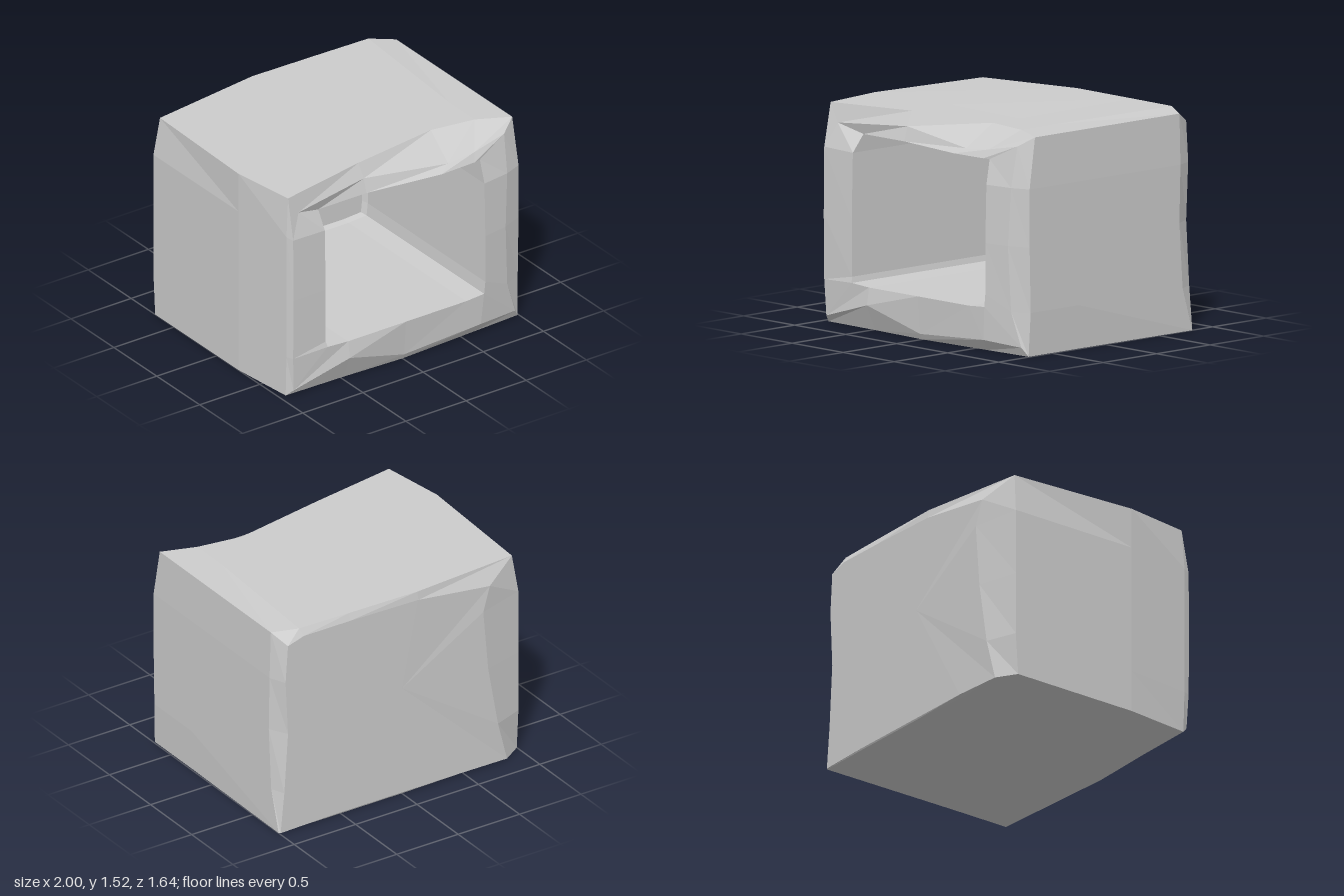
import * as THREE from 'three';

// Every ring has 16 [x, y, z] points, anticlockwise from the bottom left corner seen from the front:
// bottom edge (0-4), right side (5-7), top edge (8-12), left side (13-15).

// Chipped edge of the back face
const backFace = [
  [-0.86, 0, -0.81], [-0.48, 0.01, -0.82], [0, 0.01, -0.82], [0.6, 0.01, -0.82], [0.99, 0, -0.82],
  [0.96, 0.3, -0.82], [0.93, 0.75, -0.82], [0.95, 1.15, -0.82],
  [0.93, 1.43, -0.82], [0.8, 1.47, -0.82], [0.42, 1.47, -0.82], [-0.13, 1.46, -0.82], [-0.72, 1.38, -0.81],
  [-0.66, 1.2, -0.82], [-0.7, 0.75, -0.82], [-0.78, 0.3, -0.82],
];
// Back end of the sides, top and bottom
const backEdge = [
  [-1, 0, -0.72], [-0.48, 0, -0.79], [0, 0, -0.815], [0.6, 0, -0.815], [1, 0, -0.81],
  [1, 0.3, -0.72], [1, 0.75, -0.69], [1, 1.15, -0.7],
  [0.99, 1.5, -0.7], [0.82, 1.52, -0.79], [0.42, 1.52, -0.8], [-0.13, 1.52, -0.81], [-0.96, 1.5, -0.72],
  [-1, 1.22, -0.74], [-1, 0.75, -0.74], [-1, 0.3, -0.74],
];
// Front end of the sides, top and bottom, with the top chipped back
const frontEdge = [
  [-0.95, 0, 0.73], [-0.48, 0, 0.74], [0, 0, 0.76], [0.6, 0, 0.73], [0.99, 0, 0.71],
  [1, 0.3, 0.7], [1, 0.75, 0.71], [1, 1.15, 0.71],
  [0.99, 1.5, 0.65], [0.75, 1.51, 0.55], [0.42, 1.51, 0.5], [-0.26, 1.52, 0.61], [-0.93, 1.51, 0.73],
  [-0.95, 1.22, 0.74], [-0.95, 0.75, 0.74], [-0.95, 0.3, 0.74],
];
// Ridge of the front frame
const ridge = [
  [-0.92, 0.05, 0.78], [-0.48, 0.18, 0.82], [0, 0.04, 0.78], [0.63, 0.08, 0.79], [0.95, 0.06, 0.74],
  [0.87, 0.3, 0.76], [0.85, 0.75, 0.77], [0.87, 1.15, 0.76],
  [0.88, 1.43, 0.71], [0.62, 1.38, 0.73], [0.4, 1.36, 0.73], [-0.25, 1.42, 0.66], [-0.85, 1.38, 0.74],
  [-0.93, 1.21, 0.79], [-0.93, 0.75, 0.795], [-0.93, 0.3, 0.79],
];
// Mouth of the cavity
const mouth = [
  [-0.65, 0.31, 0.8], [-0.48, 0.3, 0.8], [0, 0.3, 0.8], [0.5, 0.3, 0.8], [0.65, 0.31, 0.8],
  [0.66, 0.4, 0.8], [0.66, 0.75, 0.8], [0.66, 1.15, 0.79],
  [0.65, 1.32, 0.75], [0.6, 1.32, 0.76], [0.32, 1.32, 0.77], [-0.25, 1.32, 0.69], [-0.65, 1.32, 0.69],
  [-0.66, 1.2, 0.78], [-0.66, 0.75, 0.79], [-0.66, 0.35, 0.79],
];

// All points of a ring moved to one depth and scaled about (0, cy)
const atDepth = (ring, z, s = 1, cy = 0.815) =>
  ring.map(([x, y]) => [x * s, cy + (y - cy) * s, z]);

// Skin a list of rings, ordered from the outer back round to the inside
function skin(rings) {
  const pos = [];
  for (let r = 0; r < rings.length - 1; r++) {
    const a = rings[r], b = rings[r + 1], n = a.length;
    for (let j = 0; j < n; j++) {
      const k = (j + 1) % n;
      if (a[j].join() !== a[k].join()) pos.push(...a[j], ...a[k], ...b[k]);
      if (b[j].join() !== b[k].join()) pos.push(...a[j], ...b[k], ...b[j]);
    }
  }
  const geometry = new THREE.BufferGeometry();
  geometry.setAttribute('position', new THREE.Float32BufferAttribute(pos, 3));
  geometry.computeVertexNormals();
  return geometry;
}

export function createModel() {
  const group = new THREE.Group();
  group.name = 'hollowStoneBlock';
  const stone = new THREE.MeshStandardMaterial({ color: 0xcccccc, flatShading: true });
  stone.name = 'paleGreyStone';

  const add = (name, rings) => {
    const mesh = new THREE.Mesh(skin(rings), stone);
    mesh.name = name;
    group.add(mesh);
  };

  // Outer shell, widest on the left a little behind the front
  const waist = atDepth(frontEdge, 0.25, 1).map(([x, y, z], i) =>
    [i > 11 || i === 0 ? -1 : x, y, z]);
  add('outerShell', [atDepth(backFace, -0.82, 0), backFace, backEdge, waist, frontEdge]);

  // Chipped frame round the opening
  add('frontFrame', [frontEdge, ridge, mouth]);

  // Square cavity with a narrow bevel round its back wall
  add('cavity', [
    mouth, atDepth(mouth, -0.57), atDepth(mouth, -0.6, 0.96), atDepth(mouth, -0.6, 0),
  ]);
  return group;
}
